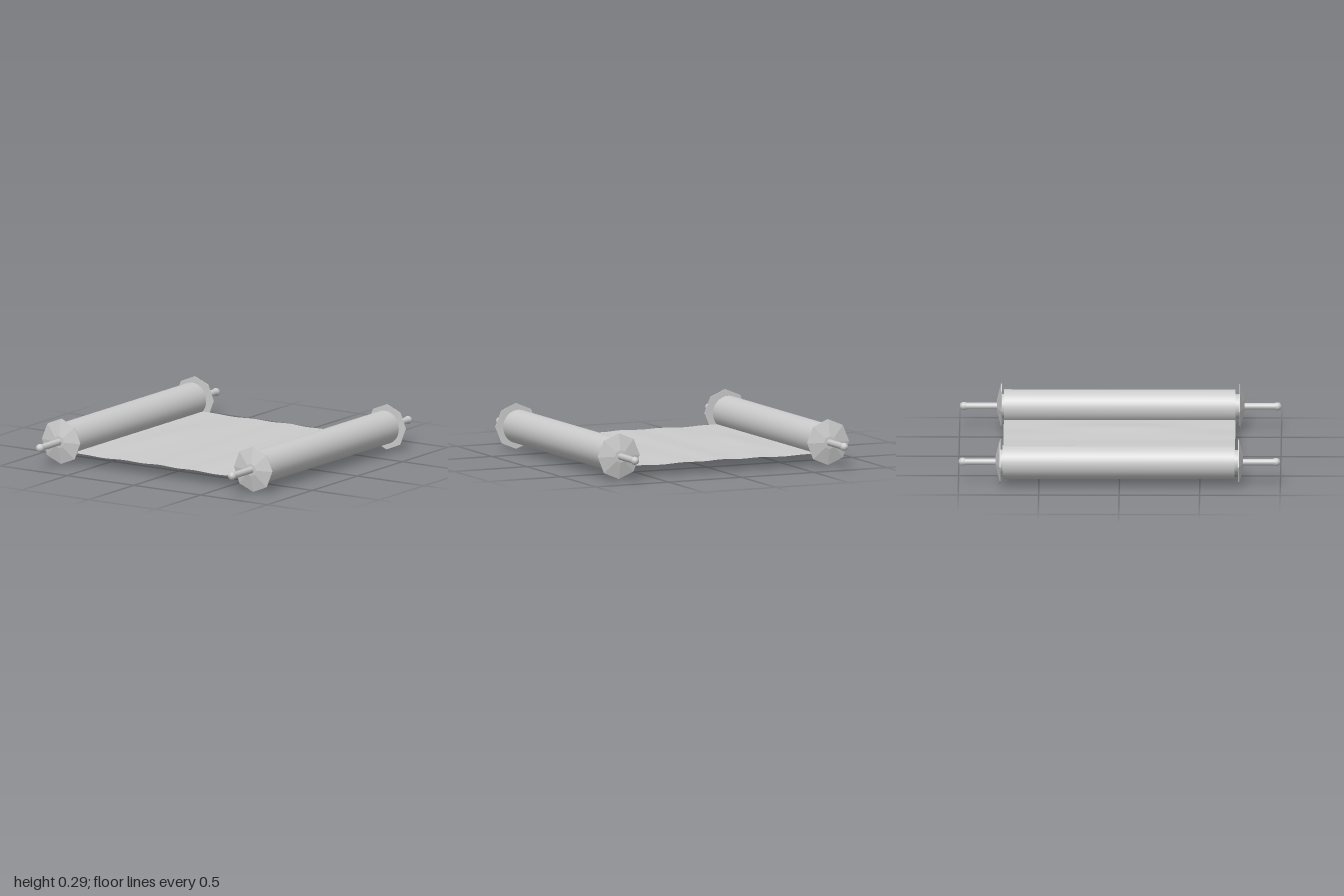
import * as THREE from 'three';

const AXIS_Y = 0.15;
const material = new THREE.MeshStandardMaterial({ color: 0xcccccc });
const flatMaterial = new THREE.MeshStandardMaterial({ color: 0xcccccc, flatShading: true });
const sheetMaterial = new THREE.MeshStandardMaterial({ color: 0xcccccc, side: THREE.DoubleSide });

function mesh(name, geometry, mat = material) {
  const m = new THREE.Mesh(geometry, mat);
  m.name = name;
  return m;
}

// Lathe turned so that its axis runs along +z
function turned(points, segments) {
  const profile = points.map(([r, z]) => new THREE.Vector2(r, z));
  return new THREE.LatheGeometry(profile, segments).rotateX(Math.PI / 2);
}

// One end of a rod: collar, octagonal end disc, handle with a knob
function createRodEnd(name) {
  const end = new THREE.Group();
  end.name = name;
  const collar = new THREE.CylinderGeometry(0.075, 0.075, 0.06, 24).rotateX(Math.PI / 2).translate(0, 0, 0.715);
  end.add(mesh('collar', collar));
  end.add(mesh('endDisc', turned([[0, 0.738], [0.144, 0.738], [0.144, 0.743], [0.04, 0.768], [0, 0.77]], 8), flatMaterial));
  end.add(mesh('handle', turned([
    [0.021, 0.76], [0.021, 0.955], [0.025, 0.966], [0.026, 0.976], [0.023, 0.988], [0.014, 0.997], [0, 1],
  ], 12)));
  return end;
}

// Rolled-up part of the sheet with a rod end at the front and back
function createRoller(name, x, rollOffset) {
  const roller = new THREE.Group();
  roller.name = name;
  roller.position.set(x, AXIS_Y, 0);
  const roll = new THREE.CylinderGeometry(0.105, 0.105, 1.44, 32).rotateX(Math.PI / 2);
  roll.translate(rollOffset, 0, -0.005);
  roller.add(mesh('paperRoll', roll));
  const back = createRodEnd('backRodEnd');
  back.rotation.y = Math.PI;
  roller.add(createRodEnd('frontRodEnd'), back);
  return roller;
}

// Open sheet between the rollers, gently rippled
function createSheet() {
  const geometry = new THREE.PlaneGeometry(1.3, 1.44, 40, 16).rotateX(-Math.PI / 2);
  const p = geometry.attributes.position;
  for (let i = 0; i < p.count; i++) {
    const x = p.getX(i), z = p.getZ(i);
    const swell = Math.exp(-(((Math.abs(x) - 0.42) / 0.1) ** 2));
    const ripple = 0.003 * Math.cos(x * 22) * Math.exp(-((x / 0.3) ** 2));
    p.setY(i, 0.081 + ripple + swell * (0.004 + 0.009 * Math.cos(z * 4.4)));
  }
  geometry.translate(0, 0, -0.005);
  geometry.computeVertexNormals();
  return mesh('sheet', geometry, sheetMaterial);
}

export function createModel() {
  const model = new THREE.Group();
  model.name = 'scroll';
  model.add(
    createRoller('leftRoller', 0.72, -0.004),
    createRoller('rightRoller', -0.72, -0.008),
    createSheet(),
  );
  return model;
}
